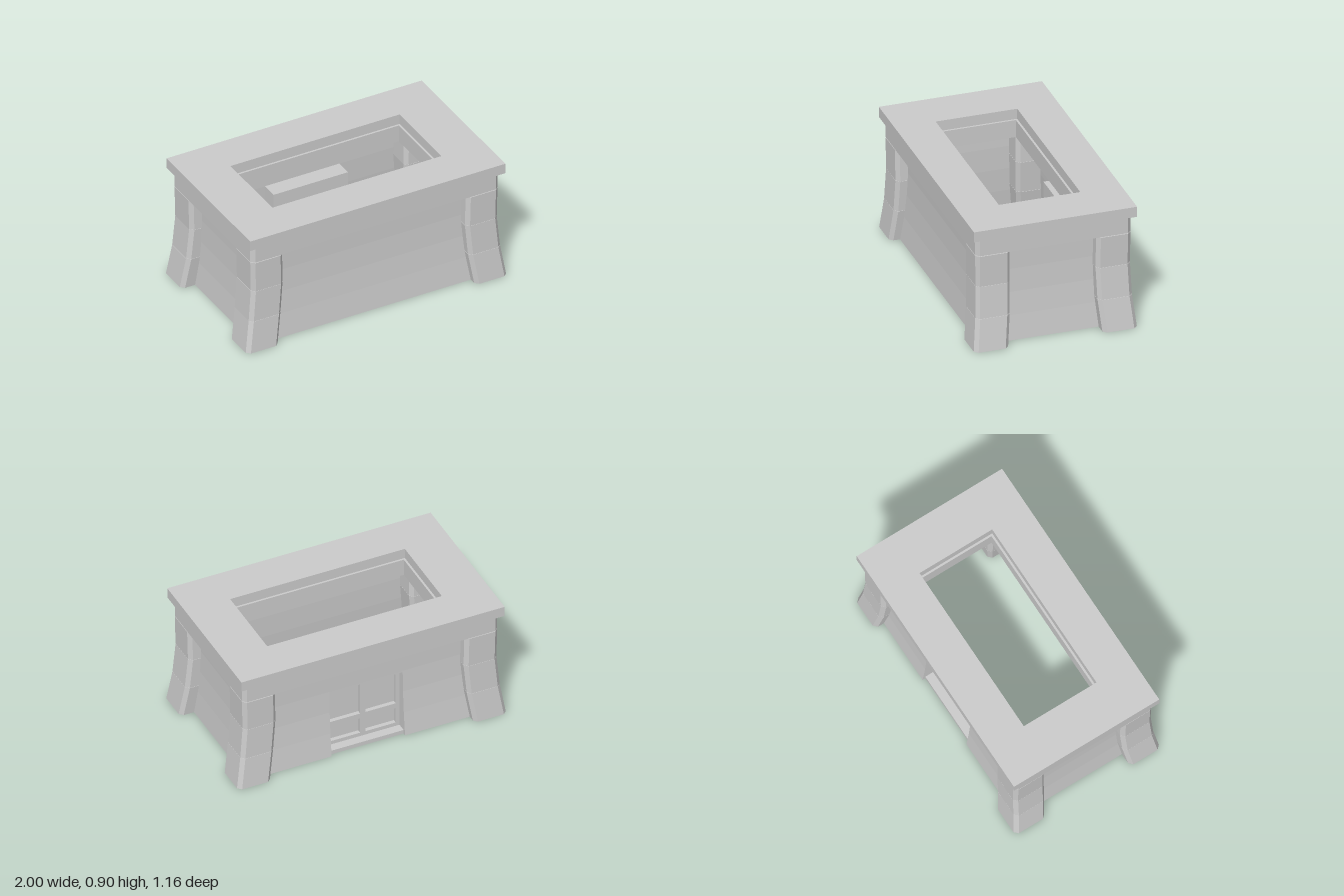
import * as THREE from 'three';
import { ConvexGeometry } from 'three/addons/geometries/ConvexGeometry.js';

const LEVELS = [0, 0.18, 0.35, 0.52, 0.7];            // wall band heights
const FLARE = [0.037, 0.017, 0.005, 0, 0.002];        // outward lean at each height
const WALL_X = 0.86, WALL_Z = 0.47;
const WIN = 0.285;                                    // half width of the window recess

const stone = new THREE.MeshStandardMaterial({ color: 0xcccccc, flatShading: true });
const wallMat = new THREE.MeshStandardMaterial({ color: 0xcccccc, flatShading: true, side: THREE.DoubleSide });

function add(parent, name, geometry, material = stone) {
  const mesh = new THREE.Mesh(geometry, material);
  mesh.name = name;
  parent.add(mesh);
  return mesh;
}

function box(parent, name, x0, x1, y0, y1, z0, z1) {
  const mesh = add(parent, name, new THREE.BoxGeometry(x1 - x0, y1 - y0, z1 - z0));
  mesh.position.set((x0 + x1) / 2, (y0 + y1) / 2, (z0 + z1) / 2);
}

// Outline of a rectangle with cut corners
function outline(x0, x1, z0, z1, c) {
  return [[x0 + c, z0], [x1 - c, z0], [x1, z0 + c], [x1, z1 - c],
    [x1 - c, z1], [x0 + c, z1], [x0, z1 - c], [x0, z0 + c]];
}

// Flat ring with a rectangular hole, lying between two heights
function ring(parent, name, points, hx, hz, y0, y1) {
  const shape = new THREE.Shape(points.map(p => new THREE.Vector2(...p)));
  shape.holes.push(new THREE.Path([[-hx, -hz], [-hx, hz], [hx, hz], [hx, -hz]].map(p => new THREE.Vector2(...p))));
  const geo = new THREE.ExtrudeGeometry(shape, { depth: y1 - y0, bevelEnabled: false });
  geo.rotateX(-Math.PI / 2).translate(0, y0, 0);
  add(parent, name, geo);
}

// Leaning wall panel; an edge at the full half width follows the flare of the corner
function panel(parent, name, half, depth, xA, xB, from, to, turn) {
  const rows = to - from;
  const geo = new THREE.PlaneGeometry(1, 1, 1, rows);
  const pos = geo.attributes.position;
  for (let i = 0; i < pos.count; i++) {
    const level = to - Math.floor(i / 2);
    const x = i % 2 ? xB : xA;
    const corner = Math.abs(x) === half ? Math.sign(x) * FLARE[level] : 0;
    pos.setXYZ(i, x + corner, LEVELS[level], depth + FLARE[level]);
  }
  geo.rotateY(turn);
  geo.computeVertexNormals();
  add(parent, name, geo, wallMat);
}

// Corner pillar of three stacked blocks that spreads towards the ground
function pillar(sx, sz) {
  const group = new THREE.Group();
  group.name = 'cornerPillar';
  const rings = [[0, 1.0, 0.58], [0.233, 0.965, 0.557], [0.466, 0.945, 0.55], [0.695, 0.95, 0.552]];
  for (let i = 0; i < 3; i++) {
    const pts = [];
    rings.slice(i, i + 2).forEach(([y, x, z], k) => {
      const h = y - (k && i < 2 ? 0.002 : 0);
      for (const [px, pz] of outline(x - 0.245, x, z - 0.245, z, 0.026)) {
        pts.push(new THREE.Vector3(sx * px, h, sz * pz));
      }
    });
    add(group, 'pillarBlock', new ConvexGeometry(pts));
  }
  return group;
}

// Recessed window on the back wall
function backWindow() {
  const g = new THREE.Group();
  g.name = 'window';
  const top = LEVELS[3], inner = 0.35;
  const cheek = new THREE.Shape();
  cheek.moveTo(inner, 0);
  for (let i = 0; i <= 3; i++) cheek.lineTo(WALL_Z + FLARE[i], LEVELS[i]);
  cheek.lineTo(inner, top);
  for (const x of [-WIN, WIN - 0.012]) {
    const geo = new THREE.ExtrudeGeometry(cheek, { depth: 0.012, bevelEnabled: false });
    geo.rotateY(Math.PI / 2).translate(x, 0, 0);
    add(g, 'windowCheek', geo);
  }
  const w = WIN - 0.012;
  box(g, 'windowLintel', -w, w, top - 0.012, top, -WALL_Z, -inner);
  box(g, 'windowSill', -w, w, 0, 0.03, -0.485, -inner);
  box(g, 'windowPane', -w, w, 0.03, top - 0.012, -0.39, -inner);
  // Frame and glazing bars
  const z0 = -0.42, z1 = -0.39, y0 = 0.03, y1 = top - 0.012;
  for (const x of [-w + 0.014, 0, w - 0.014]) {
    const t = x === 0 ? 0.02 : 0.014;
    box(g, 'uprightBar', x - t, x + t, y0, y1, z0, z1);
  }
  for (const [a, b] of [[y0, y0 + 0.028], [0.18, 0.22], [y1 - 0.028, y1]]) {
    for (const s of [-1, 1]) {
      const xs = [s * 0.02, s * (w - 0.028)].sort((p, q) => p - q);
      box(g, 'crossBar', xs[0], xs[1], a, b, z0, z1);
    }
  }
  return g;
}

export function createModel() {
  const model = new THREE.Group();
  model.name = 'building';

  // Roof slab and the beam below it, both open in the middle
  ring(model, 'roofSlab', [[-0.98, -0.58], [0.98, -0.58], [0.98, 0.58], [-0.98, 0.58]], 0.65, 0.29, 0.828, 0.904);
  ring(model, 'roofBeam', outline(-0.95, 0.95, -0.552, 0.552, 0.026), 0.635, 0.275, 0.7, 0.828);

  // Walls, with a gap in the back one for the window
  panel(model, 'frontWall', WALL_X, WALL_Z, -WALL_X, WALL_X, 0, 4, 0);
  panel(model, 'leftWall', WALL_Z, WALL_X, -WALL_Z, WALL_Z, 0, 4, Math.PI / 2);
  panel(model, 'rightWall', WALL_Z, WALL_X, -WALL_Z, WALL_Z, 0, 4, -Math.PI / 2);
  panel(model, 'backWall', WALL_X, WALL_Z, -WALL_X, -WIN, 0, 4, Math.PI);
  panel(model, 'backWall', WALL_X, WALL_Z, WIN, WALL_X, 0, 4, Math.PI);
  panel(model, 'backWallTop', WALL_X, WALL_Z, -WIN, WIN, 3, 4, Math.PI);

  for (const sx of [-1, 1]) for (const sz of [-1, 1]) model.add(pillar(sx, sz));
  model.add(backWindow());
  return model;
}
